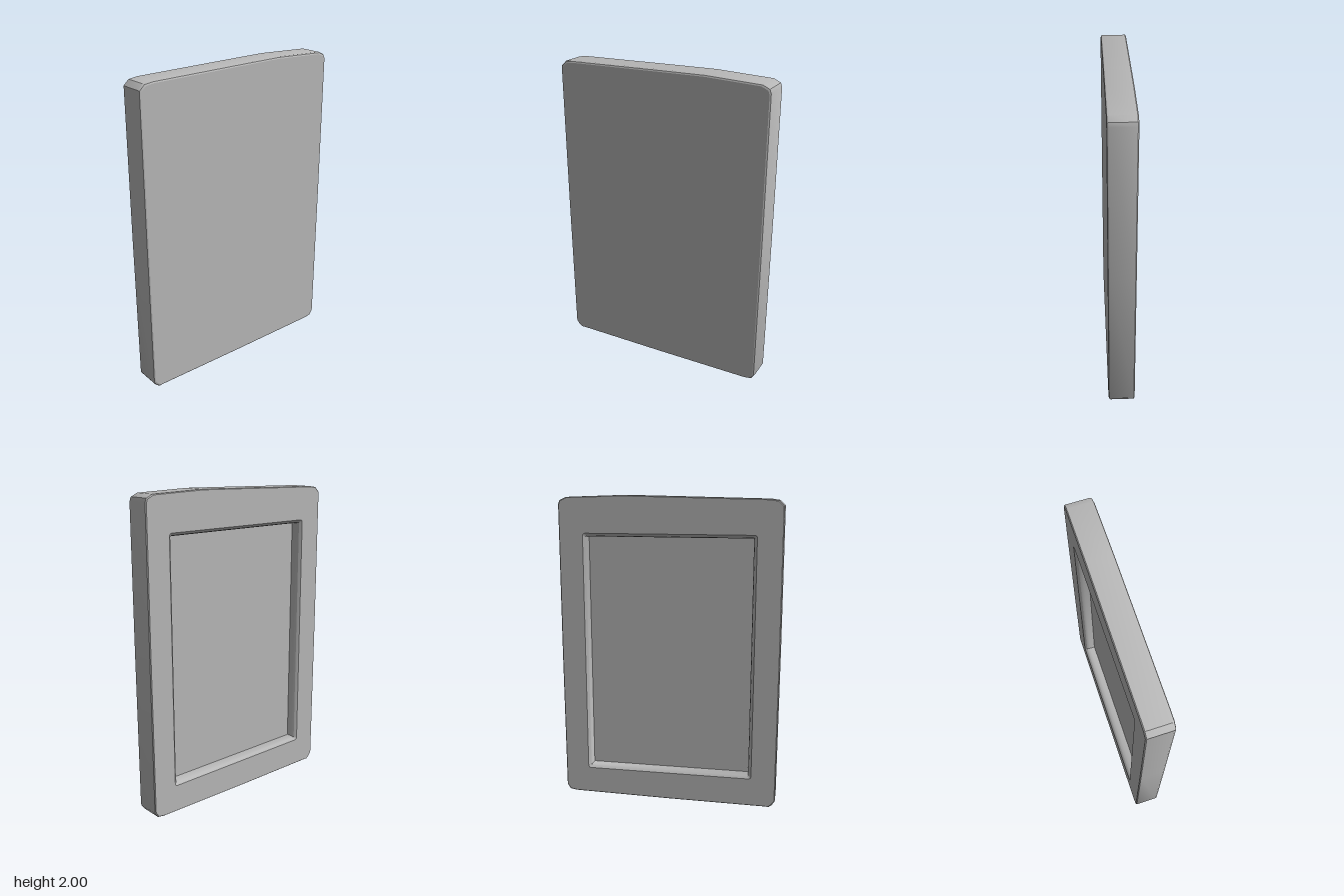
import * as THREE from 'three';
import { toCreasedNormals } from 'three/addons/utils/BufferGeometryUtils.js';

const BACK = -0.083, FRONT = 0.083, FLOOR = -0.012;

// Slightly uneven slab outline, counter-clockwise from the front
const OUTLINE = [
  [-0.65, 0.003], [0, 0.007], [0.64, 0.016], [0.685, 0.024], [0.706, 0.055],
  [0.708, 1], [0.706, 1.945], [0.697, 1.968], [0.655, 1.988], [0.3, 2], [0, 1.994],
  [-0.62, 1.98], [-0.675, 1.972], [-0.708, 1.94], [-0.71, 1], [-0.708, 0.045], [-0.69, 0.018], [-0.667, 0],
];

// Rounded rectangle of the recess, counter-clockwise
function windowRing(inset, radius = 0.015) {
  const x = 0.55 - inset, y0 = 0.19 + inset, y1 = 1.765 - inset;
  const corners = [[x, y0, -1], [x, y1, 0], [-x, y1, 1], [-x, y0, 2]];
  return corners.flatMap(([cx, cy, q]) => [0, 1, 2].map((k) => {
    const a = (q + k / 2) * Math.PI / 2;
    return [cx - Math.sign(cx) * radius + Math.cos(a) * radius,
      cy + (cy < 1 ? radius : -radius) + Math.sin(a) * radius];
  }));
}

// Shrinks the outline towards its centre
const insetOutline = (d) => OUTLINE.map(([x, y]) => [x * (1 - d / 0.71), 1 + (y - 1) * (1 - d)]);

// Skin between successive rings, each { points, z }
function loft(rings) {
  const pos = [], idx = [], n = rings[0].points.length;
  rings.forEach(({ points, z }) => points.forEach(([x, y]) => pos.push(x, y, z)));
  for (let r = 0; r < rings.length - 1; r++) {
    for (let i = 0; i < n; i++) {
      const a = r * n + i, b = r * n + (i + 1) % n;
      idx.push(a, b, b + n, a, b + n, a + n);
    }
  }
  const geo = new THREE.BufferGeometry();
  geo.setAttribute('position', new THREE.Float32BufferAttribute(pos, 3));
  geo.setIndex(idx);
  return toCreasedNormals(geo, 0.6);
}

// Flat cap, optionally with a hole and facing backwards
function cap(points, z, { hole, backwards = false } = {}) {
  const toVec = (list) => list.map(([x, y]) => new THREE.Vector2(x, y));
  const shape = new THREE.Shape(toVec(points));
  if (hole) shape.holes.push(new THREE.Path(toVec(hole)));
  const geo = new THREE.ShapeGeometry(shape);
  if (backwards) {
    geo.index.array.reverse();
    geo.computeVertexNormals();
  }
  return geo.translate(0, 0, z);
}

export function createModel() {
  const group = new THREE.Group();
  group.name = 'framedPanel';
  const grey = new THREE.MeshStandardMaterial({ color: 0xb8b8b8 });
  grey.name = 'grey';
  const add = (name, geo) => {
    const mesh = new THREE.Mesh(geo, grey);
    mesh.name = name;
    group.add(mesh);
  };

  // Outer rim with a softened front edge and a crisp back edge
  add('outerRim', loft([
    { points: insetOutline(0.005), z: BACK },
    { points: OUTLINE, z: BACK + 0.006 },
    { points: OUTLINE, z: FRONT - 0.014 },
    { points: insetOutline(0.004), z: FRONT - 0.004 },
    { points: insetOutline(0.012), z: FRONT },
  ]));
  add('frontFace', cap(insetOutline(0.012), FRONT));

  // Back border around the recess
  add('backBorder', cap(insetOutline(0.005), BACK, { hole: windowRing(0), backwards: true }));

  // Recess with a bevelled lip, straight wall and flat floor
  add('recessWall', loft([
    { points: windowRing(0.022, 0.004), z: FLOOR },
    { points: windowRing(0.022, 0.004), z: BACK + 0.035 },
    { points: windowRing(0.016, 0.008), z: BACK + 0.014 },
    { points: windowRing(0), z: BACK },
  ]));
  add('recessFloor', cap(windowRing(0.022, 0.004), FLOOR, { backwards: true }));

  return group;
}
